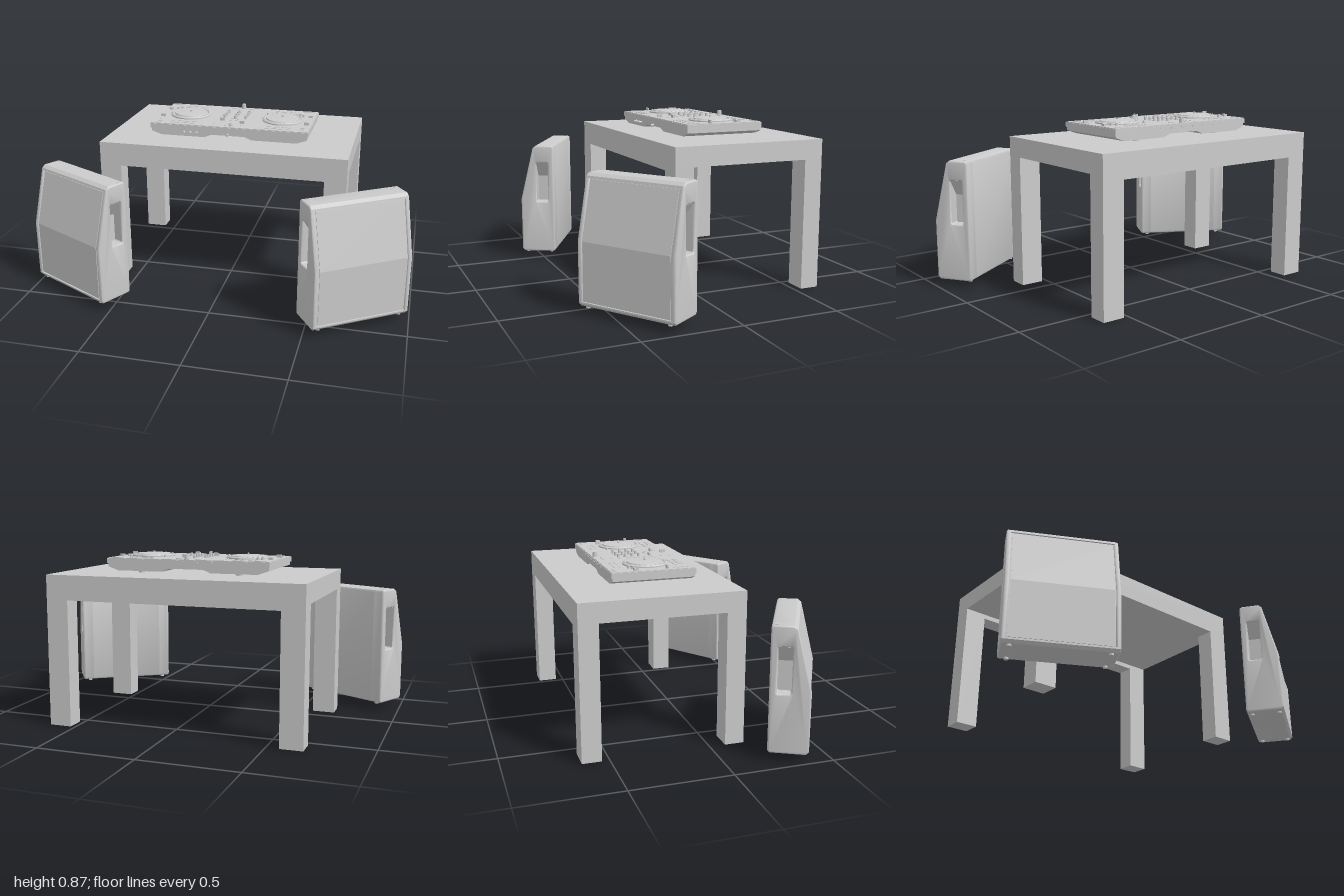
import * as THREE from 'three';
import { toCreasedNormals } from 'three/addons/utils/BufferGeometryUtils.js';

const mat = new THREE.MeshStandardMaterial({ color: 0xcccccc });

function add(parent, name, geo, x = 0, y = 0, z = 0) {
  const m = new THREE.Mesh(geo, mat);
  m.name = name;
  m.position.set(x, y, z);
  parent.add(m);
  return m;
}
const box = (w, h, d) => new THREE.BoxGeometry(w, h, d);
const cyl = (r, h, n = 20, top = r) => new THREE.CylinderGeometry(top, r, h, n);
const poly = pts => new THREE.Shape(pts.map(p => new THREE.Vector2(...p)));

function createTable() {
  const g = new THREE.Group();
  g.name = 'table';
  const cx = -0.02, cz = -0.229, W = 1.32, D = 0.812, lw = 0.115, ld = 0.097;
  add(g, 'tableTop', box(W, 0.1, D), cx, 0.72, cz);
  for (const sz of [1, -1]) {
    const z = cz + sz * (D - ld) / 2;
    add(g, 'apron', box(W - 2 * lw, 0.025, ld), cx, 0.6575, z);
    for (const sx of [1, -1]) add(g, 'tableLeg', box(lw, 0.67, ld), cx + sx * (W - lw) / 2, 0.335, z);
  }
  return g;
}

// Side outline of a speaker in (depth, height), front notched back by `inset`
function speakerProfile(inset) {
  const b = -0.097, f = 0.097, bot = 0.04, mid = 0.35, top = 0.66, r = 0.014;
  const slope = y => f - 0.076 * Math.max(0, (y - mid) / (top - mid));
  const pts = [[b + r, bot], [f - r, bot], [f, bot + r]];
  if (inset) {
    pts.push([f, 0.062], [f - inset, 0.062], [f - inset, mid],
      [slope(0.636) - inset, 0.636], [slope(0.636), 0.636]);
  } else pts.push([f, mid]);
  pts.push([slope(top - r), top - r], [slope(top) - r, top], [b + r, top],
    [b + r * 0.3, top - r * 0.3], [b, top - r], [b, bot + r], [b + r * 0.3, bot + r * 0.3]);
  return poly(pts);
}

function speakerSlice(inset, width, hole, bevel) {
  const shape = speakerProfile(inset);
  if (hole) shape.holes.push(new THREE.Path([[-0.062, 0.34], [-0.057, 0.335], [0, 0.335], [0.005, 0.34],
    [0.005, 0.555], [0, 0.56], [-0.057, 0.56], [-0.062, 0.555]].map(p => new THREE.Vector2(...p))));
  const geo = new THREE.ExtrudeGeometry(shape, {
    depth: width - 2 * bevel, bevelEnabled: bevel > 0, bevelSize: bevel,
    bevelThickness: bevel, bevelOffset: -bevel, bevelSegments: 4,
  });
  geo.translate(0, 0, bevel - width / 2).rotateY(-Math.PI / 2);
  return toCreasedNormals(geo, 0.65);
}

function createSpeaker(x, z, turn) {
  const g = new THREE.Group();
  g.name = 'speaker';
  const half = 0.265, rim = 0.024, bevel = 0.01, pocket = 0.06;
  // solid middle, then pocketed slices, then rounded outer rims standing proud of the grille
  add(g, 'cabinetCore', speakerSlice(0.008, 2 * (half - pocket), false, 0));
  const inner = pocket - bevel;
  for (const s of [1, -1]) {
    add(g, 'cabinetSide', speakerSlice(0.008, inner, true, 0), s * (half - pocket + inner / 2));
    add(g, 'cabinetRim', speakerSlice(0, rim, true, bevel), s * (half - rim / 2));
    // sloping roof inside the hand grip
    const roof = new THREE.ExtrudeGeometry(poly([[0, 0.56], [0, 0.48], [0.054, 0.56]]),
      { depth: 0.067, bevelEnabled: false });
    const m = add(g, 'gripRoof', roof, s * (half - pocket), 0, -0.062);
    if (s < 0) {
      m.rotation.y = Math.PI;
      m.position.z = 0.005;
    }
    for (const d of [-0.07, 0.07]) add(g, 'foot', cyl(0.011, 0.012, 16), s * 0.225, 0.037, d);
    add(g, 'cornerStud', cyl(0.008, 0.004, 12), s * 0.24, 0.66, -0.072);
  }
  // grille sheet following the bent front, leaving a narrow groove around it
  const grille = new THREE.ExtrudeGeometry(poly([[0.08, 0.067], [0.092, 0.067], [0.092, 0.35],
    [0.023, 0.631], [0.011, 0.631], [0.08, 0.35]]), { depth: 0.472, bevelEnabled: false });
  grille.translate(0, 0, -0.236).rotateY(-Math.PI / 2);
  add(g, 'grille', grille);
  g.position.set(x, 0, z);
  g.rotation.y = turn;
  return g;
}

function createMixer() {
  const g = new THREE.Group();
  g.name = 'mixingDeck';
  g.position.set(-0.02, 0, -0.207);
  const top = 0.845;
  // casing: a flat slab over two shallow tapered trays
  const low = new THREE.ExtrudeGeometry(poly([[-0.425, 0.818], [-0.425, 0.8], [-0.37, 0.781], [-0.13, 0.781],
    [-0.09, 0.797], [0.09, 0.797], [0.13, 0.781], [0.37, 0.781], [0.425, 0.8], [0.425, 0.818]]),
  { depth: 0.416, bevelEnabled: false });
  add(g, 'lowerCase', low, 0, 0, -0.208);
  add(g, 'upperCase', box(0.86, 0.024, 0.424), 0, 0.829, 0);
  add(g, 'topPlate', box(0.854, 0.006, 0.418), 0, 0.842, 0);
  add(g, 'plateSeam', box(0.003, 0.002, 0.418), -0.09, top, 0);

  const knob = (x, z, r = 0.008, h = 0.018) => add(g, 'knob', cyl(r, h, 16, r * 0.85), x, top + h / 2, z);
  const button = (x, z, w = 0.016, d = 0.01, h = 0.003) => add(g, 'button', box(w, h, d), x, top + h / 2, z);
  const fader = (x, z, w, d, along) => {
    add(g, 'faderSlot', along ? box(0.004, 0.002, 0.07) : box(0.07, 0.002, 0.004), x, top, z);
    add(g, 'faderCap', box(w, 0.016, d), x, top + 0.008, z);
  };

  // jog wheel profile from rim to centre
  const jog = new THREE.LatheGeometry([[0.112, 0], [0.112, 0.006], [0.106, 0.011], [0.098, 0.011], [0.096, 0.008],
    [0.091, 0.008], [0.088, 0.014], [0.04, 0.017], [0, 0.018]].map(p => new THREE.Vector2(...p)), 48);
  const jogGeo = toCreasedNormals(jog, 0.5);
  for (const s of [-1, 1]) {
    const cx = s * 0.26;
    add(g, 'jogWheel', jogGeo, cx, top, 0);
    add(g, 'jogSpindle', cyl(0.006, 0.012, 12), cx, top + 0.02, 0);
    for (let i = 0; i < 24; i++) {
      const a = i / 24 * Math.PI * 2;
      add(g, 'jogGrip', cyl(0.003, 0.003, 6), cx + Math.cos(a) * 0.102, top + 0.012, Math.sin(a) * 0.102);
    }
    // performance pads and the upper button row
    for (let i = 0; i < 4; i++) {
      for (const z of [0.14, 0.172]) button(cx + (i - 1.5) * 0.036, z, 0.026, 0.02, 0.002);
      button(cx + (i - 1.5) * 0.036, -0.165, 0.022, 0.01, 0.002);
      button(cx + (i - 1.5) * 0.036, -0.14, 0.016, 0.008, 0.002);
    }
    button(s * 0.38, -0.188, 0.06, 0.008, 0.003);
    knob(s * 0.362, -0.088, 0.008, 0.014);
    knob(s * 0.342, -0.105, 0.008, 0.014);
    knob(cx - 0.1, -0.09, 0.007, 0.012);
    button(s * 0.402, -0.085, 0.02, 0.022, 0.012);
    fader(s * 0.402, 0.073, 0.026, 0.009, true);
    for (let i = 0; i < 3; i++) button(s * 0.39, 0.13 + i * 0.026, 0.022, 0.014, 0.002);
    for (const z of [-0.15, 0.15]) add(g, 'foot', cyl(0.018, 0.014), cx, 0.776, z);
  }

  // centre mixer section
  for (const x of [-0.06, 0, 0.058]) for (let i = 0; i < 4; i++) knob(x, -0.083 + i * 0.036);
  knob(0, -0.193, 0.013, 0.025);
  for (const x of [-0.05, 0.05]) button(x, -0.17, 0.03, 0.01);
  fader(-0.06, 0.083, 0.026, 0.009, true);
  fader(0.058, 0.122, 0.026, 0.009, true);
  fader(0.006, 0.174, 0.009, 0.03, false);
  button(0, 0.04, 0.045, 0.006);
  for (const x of [-0.015, 0.015]) button(x, 0.075, 0.012, 0.008);

  // sockets and dials on the front edge
  for (const x of [-0.242, -0.207, -0.172, 0]) {
    add(g, 'frontDial', cyl(0.007, 0.022, 14), x, 0.803, 0.215).rotation.x = Math.PI / 2;
  }
  // sockets on the back edge
  for (let i = 0; i < 6; i++) {
    add(g, 'rearSocket', cyl(0.006, 0.006, 12), -0.2 + i * 0.07, 0.829, -0.212).rotation.x = Math.PI / 2;
  }
  return g;
}

export function createModel() {
  const model = new THREE.Group();
  model.name = 'discJockeySetup';
  model.add(createTable(), createMixer(),
    createSpeaker(0.72, 0.405, 0.59), createSpeaker(-0.72, 0.408, -0.49));
  return model;
}
